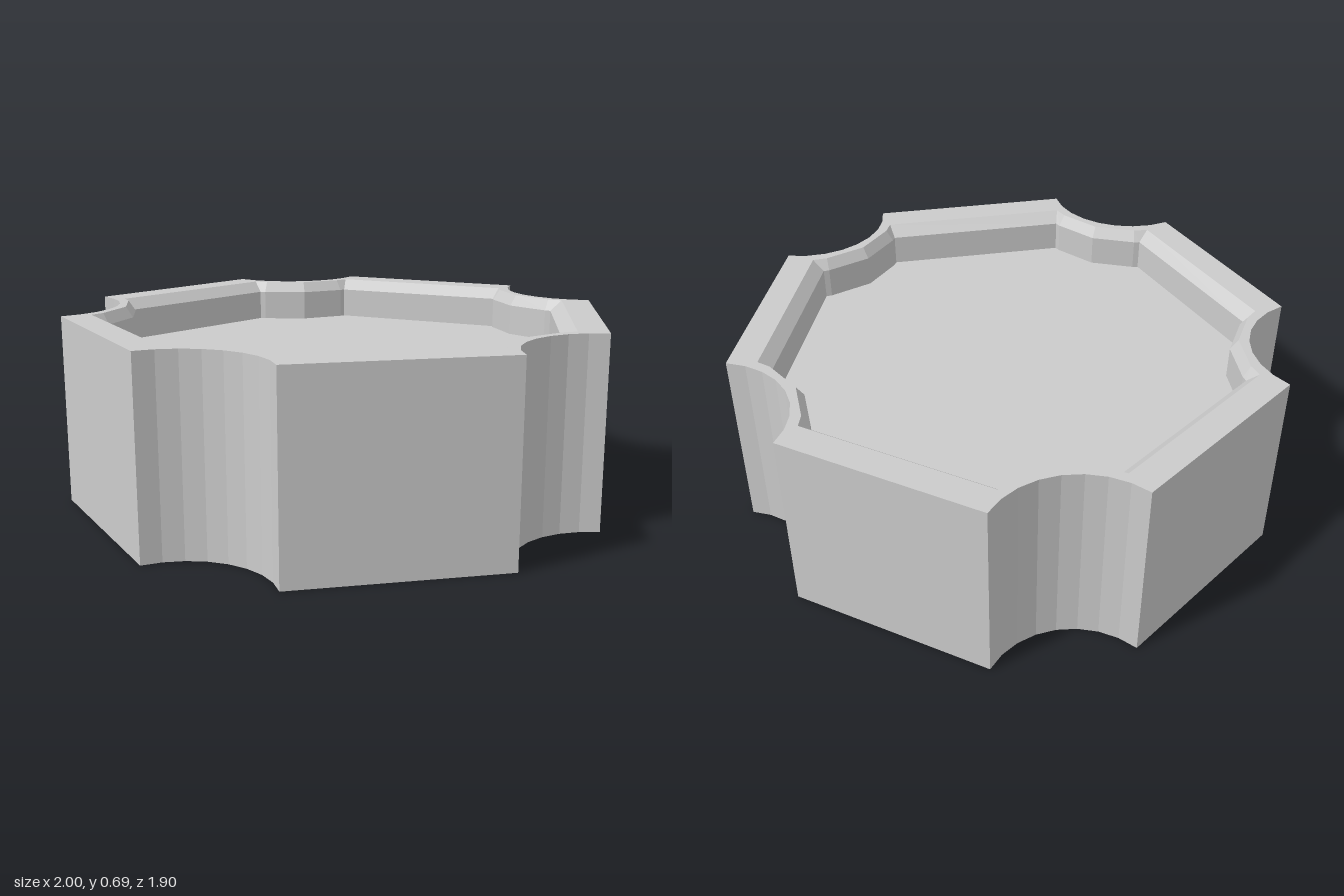
import * as THREE from 'three';

const APOTHEM = 0.9305, CENTRE_Z = 0.019, HEIGHT = 0.685;
const CORNER = APOTHEM / Math.cos(Math.PI / 5);
const rad = THREE.MathUtils.degToRad;

// Pentagon outline with a concave scallop at each corner: sides moved in by inset,
// scallop radius r, points at the given angles plus the two ends of the arc.
function outline(inset, r, angles) {
  const end = 54 - THREE.MathUtils.radToDeg(Math.asin(inset / r));
  const points = [];
  for (let k = 0; k < 5; k++) {
    const phi = rad(-90 + 72 * k);
    const cx = CORNER * Math.cos(phi), cz = CENTRE_Z + CORNER * Math.sin(phi);
    for (const t of [end, ...angles, -end]) {
      const a = phi + Math.PI + rad(t);
      points.push(new THREE.Vector2(cx + r * Math.cos(a), cz + r * Math.sin(a)));
    }
  }
  return points;
}

// Flat-faced band joining two matching outlines at two heights
function band(from, y0, to, y1) {
  const pos = [];
  from.forEach((a, i) => {
    const j = (i + 1) % from.length;
    const b = from[j], c = to[j], d = to[i];
    pos.push(a.x, y0, a.y, d.x, y1, d.y, c.x, y1, c.y);
    pos.push(a.x, y0, a.y, c.x, y1, c.y, b.x, y0, b.y);
  });
  const geo = new THREE.BufferGeometry();
  geo.setAttribute('position', new THREE.Float32BufferAttribute(pos, 3));
  geo.computeVertexNormals();
  return geo;
}

// Horizontal face, with an optional opening
function plate(points, y, hole) {
  const flip = (list) => list.map((p) => new THREE.Vector2(p.x, -p.y));
  const shape = new THREE.Shape(flip(points));
  if (hole) shape.holes.push(new THREE.Path(flip(hole)));
  return new THREE.ShapeGeometry(shape).rotateX(-Math.PI / 2).translate(0, y, 0);
}

export function createModel() {
  const group = new THREE.Group();
  group.name = 'scallopedTray';
  const material = new THREE.MeshStandardMaterial({
    color: 0xcccccc, flatShading: true, side: THREE.DoubleSide,
  });
  const add = (name, geometry) => {
    const mesh = new THREE.Mesh(geometry, material);
    mesh.name = name;
    group.add(mesh);
  };

  const outer = outline(0, 0.304, [40.5, 27, 13.5, 0, -13.5, -27, -40.5]);
  const lip = outline(0.105, 0.341, [27, 0, -27]);
  const inner = outline(0.147, 0.367, [27, 0, -27]);
  const lipBottom = HEIGHT - 0.04, floorY = 0.53;

  // Thin shell, open underneath
  add('outerWall', band(outer, 0, outer, HEIGHT));
  add('rim', plate(outer, HEIGHT, lip));
  // Shallow recess in the top
  add('rimChamfer', band(lip, HEIGHT, inner, lipBottom));
  add('recessWall', band(inner, lipBottom, inner, floorY));
  add('recessFloor', plate(inner, floorY));
  return group;
}
